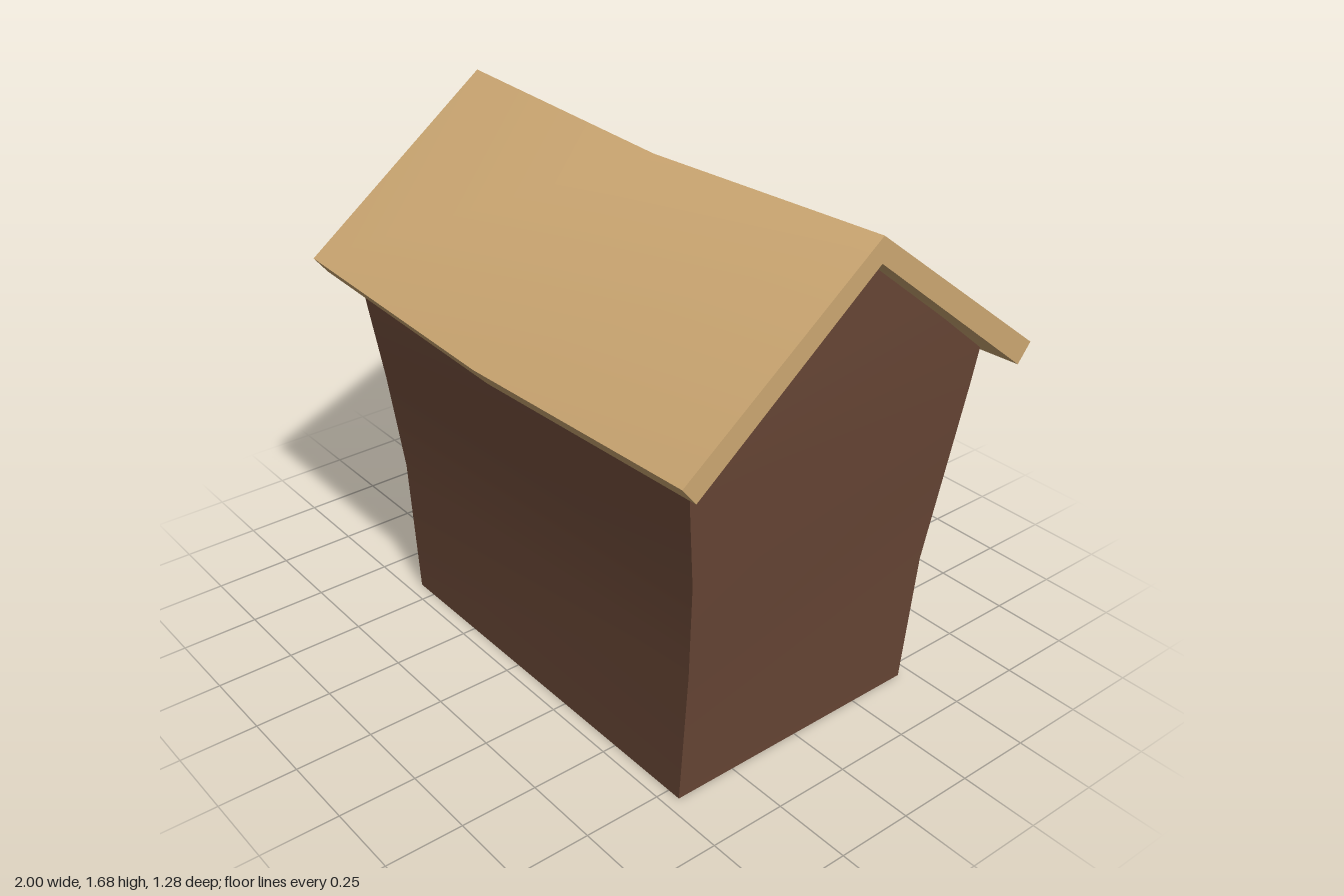
import * as THREE from 'three';
import { toCreasedNormals } from 'three/addons/utils/BufferGeometryUtils.js';

const CX = 0.11; // centre line of the house body and roof

// Collects quads (corners counter-clockwise from outside) into one mesh
function quadMesh(name, material, crease, build) {
  const pos = [];
  const tri = (...p) => p.forEach((v) => pos.push(...v));
  const quad = (a, b, c, d) => { tri(a, b, c); tri(a, c, d); };
  build(quad, tri);
  const geo = new THREE.BufferGeometry();
  geo.setAttribute('position', new THREE.Float32BufferAttribute(pos, 3));
  const mesh = new THREE.Mesh(toCreasedNormals(geo, crease), material);
  mesh.name = name;
  return mesh;
}

// Body rows: height, half length (x), half depth (z), half width of the opening above this row
const rows = [
  { y: 0, a: 0.685, h: 0.455, open: 0.15 },
  { y: 0.46, a: 0.722, h: 0.46, open: 0 },
  { y: 0.785, a: 0.762, h: 0.488, open: 0.12 },
  { y: 1.06, a: 0.787, h: 0.525, open: 0 },
  { y: 1.18, a: 0.8, h: 0.535, open: 0 },
];
const APEX = { y: 1.62, a: 0.81 };

function buildBody(quad, tri) {
  for (let i = 0; i < rows.length - 1; i++) {
    const lo = rows[i], hi = rows[i + 1], w = lo.open;
    // long walls
    for (const s of [1, -1]) {
      quad([CX - s * lo.a, lo.y, s * lo.h], [CX + s * lo.a, lo.y, s * lo.h],
        [CX + s * hi.a, hi.y, s * hi.h], [CX - s * hi.a, hi.y, s * hi.h]);
    }
    // plain end wall
    quad([CX + lo.a, lo.y, lo.h], [CX + lo.a, lo.y, -lo.h],
      [CX + hi.a, hi.y, -hi.h], [CX + hi.a, hi.y, hi.h]);
    // end wall with openings
    const x0 = CX - lo.a, x1 = CX - hi.a;
    const strip = (z0, z1, t0, t1) =>
      quad([x0, lo.y, z0], [x0, lo.y, z1], [x1, hi.y, t1], [x1, hi.y, t0]);
    if (!w) {
      strip(-lo.h, lo.h, -hi.h, hi.h);
      continue;
    }
    strip(-lo.h, -w, -hi.h, -w);
    strip(w, lo.h, w, hi.h);
    // recess behind the opening
    const xb = x0 + 0.3, y0 = lo.y, y1 = hi.y;
    quad([xb, y0, w], [x0, y0, w], [x1, y1, w], [xb, y1, w]);
    quad([x0, y0, -w], [xb, y0, -w], [xb, y1, -w], [x1, y1, -w]);
    quad([x0, y0, w], [xb, y0, w], [xb, y0, -w], [x0, y0, -w]);
    quad([x1, y1, -w], [xb, y1, -w], [xb, y1, w], [x1, y1, w]);
    quad([xb, y0, -w], [xb, y0, w], [xb, y1, w], [xb, y1, -w]);
  }
  // gables
  const t = rows[rows.length - 1], b = rows[0];
  for (const s of [1, -1]) {
    tri([CX + s * t.a, t.y, s * t.h], [CX + s * t.a, t.y, -s * t.h], [CX + s * APEX.a, APEX.y, 0]);
  }
  // underside
  quad([CX - b.a, 0, -b.h], [CX + b.a, 0, -b.h], [CX + b.a, 0, b.h], [CX - b.a, 0, b.h]);
}

// Roof: a folded slab section swept along x, sagging in the middle
function buildRoof(quad) {
  const section = [[0.64, 1.2], [0, 1.685], [-0.64, 1.2], [-0.595, 1.143], [0, 1.61], [0.595, 1.143]];
  const stations = [[-0.78, 0], [CX, -0.036], [1, 0]]
    .map(([x, dy]) => section.map(([z, y]) => [x, y + dy, z]));
  for (let k = 0; k < 2; k++) {
    const A = stations[k], B = stations[k + 1];
    for (let i = 0; i < 6; i++) {
      const j = (i + 1) % 6;
      quad(A[i], B[i], B[j], A[j]);
    }
  }
  const L = stations[0], R = stations[2];
  quad(R[5], R[4], R[1], R[0]);
  quad(R[4], R[3], R[2], R[1]);
  quad(L[0], L[1], L[4], L[5]);
  quad(L[1], L[2], L[3], L[4]);
}

export function createModel() {
  const wood = new THREE.MeshStandardMaterial({ color: 0x694736 });
  wood.name = 'dark wood';
  const thatch = new THREE.MeshStandardMaterial({ color: 0xcca772 });
  thatch.name = 'tan roofing';

  const house = new THREE.Group();
  house.name = 'house';
  house.add(quadMesh('body', wood, 0.5, buildBody));
  house.add(quadMesh('roof', thatch, 1.4, buildRoof));

  const box = (name, w, h, d, x, y, z) => {
    const m = new THREE.Mesh(new THREE.BoxGeometry(w, h, d), wood);
    m.name = name;
    m.position.set(x, y, z);
    house.add(m);
    return m;
  };
  // balcony board running into the upper opening
  box('balcony', 0.65, 0.024, 0.238, -0.675, 0.777, -0.005);
  // slanted braces under the balcony
  for (const s of [1, -1]) {
    box('balconyBrace', 0.19, 0.02, 0.03, -0.69, 0.705, s * 0.1 - 0.005).rotation.z = -Math.PI / 4;
  }
  return house;
}
